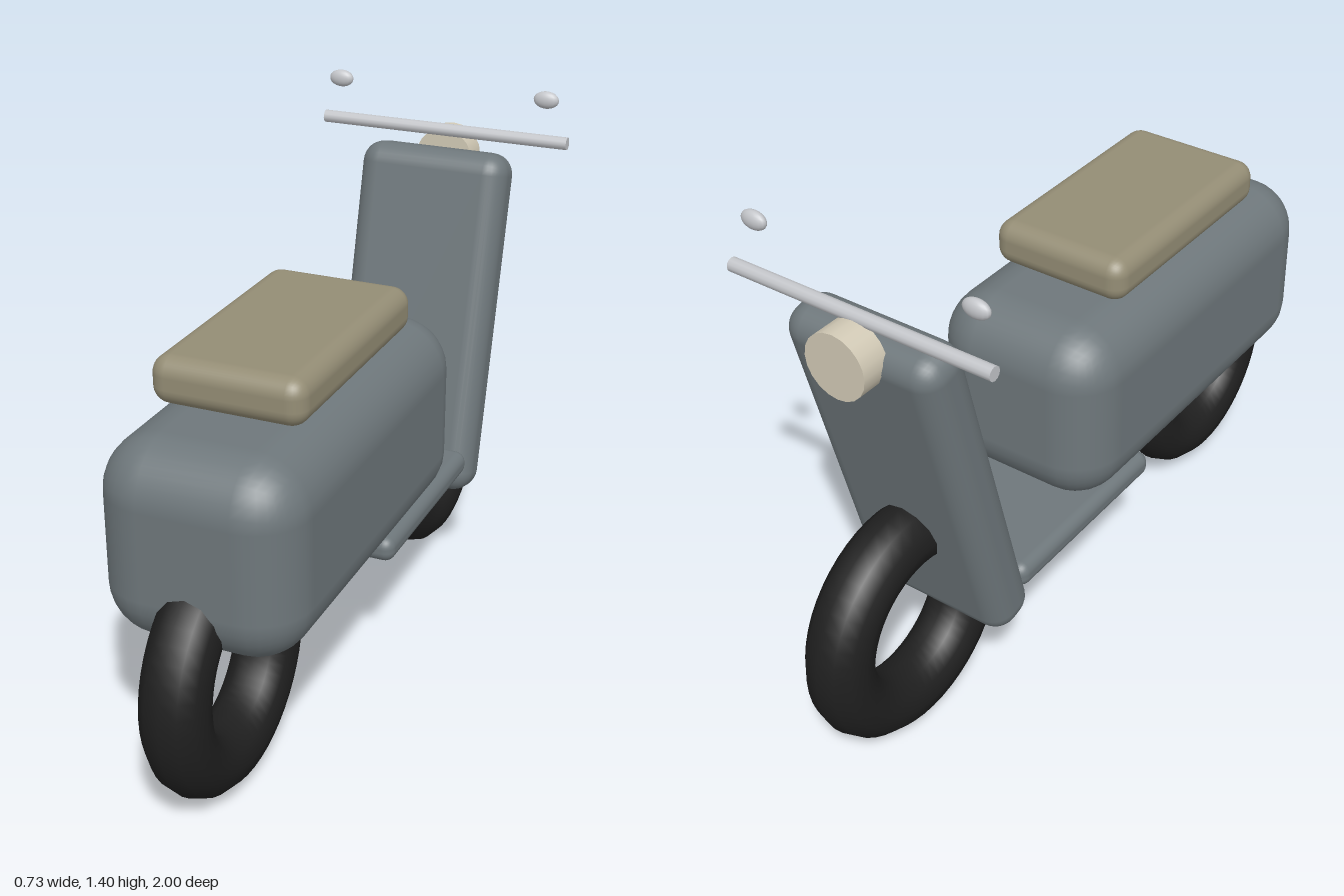
import * as THREE from 'three';
import { RoundedBoxGeometry } from 'three/addons/geometries/RoundedBoxGeometry.js';

function material(name, color) {
  const m = new THREE.MeshStandardMaterial({ color });
  m.name = name;
  return m;
}

export function createModel() {
  const paint = material('grey paint', 0x6e777b);
  const leather = material('tan leather', 0x948d75);
  const rubber = material('black rubber', 0x1f1f1f);
  const metal = material('bright metal', 0xc4c6ca);
  const glass = material('cream lamp', 0xd2cab6);

  const model = new THREE.Group();
  model.name = 'scooter';

  function add(name, geometry, mat, x, y, z) {
    const mesh = new THREE.Mesh(geometry, mat);
    mesh.name = name;
    mesh.position.set(x, y, z);
    model.add(mesh);
    return mesh;
  }
  const box = (w, h, d, r) => new RoundedBoxGeometry(w, h, d, 4, r);

  // Body, seat and footboard
  add('body', box(0.51, 0.51, 1.095, 0.14), paint, 0, 0.685, 0.307);
  add('seat', box(0.39, 0.12, 0.67, 0.045), leather, 0, 1.015, 0.305);
  add('footboard', box(0.414, 0.07, 0.585, 0.03), paint, 0, 0.382, -0.168);

  // Leg shield, leaning away from the seat
  const shield = add('legShield', box(0.434, 0.975, 0.145, 0.06), paint, 0, 0.745, -0.606);
  shield.rotation.x = -0.25;

  // Tyres
  for (const [name, z] of [['rearTyre', 0.672], ['frontTyre', -0.672]]) {
    const tyre = add(name, new THREE.TorusGeometry(0.244, 0.084, 12, 48), rubber, 0, 0.333, z);
    tyre.rotation.y = Math.PI / 2;
  }

  // Headlamp and handlebar
  const lamp = add('headlamp', new THREE.CylinderGeometry(0.084, 0.084, 0.076, 20), glass, 0, 1.175, -0.802);
  lamp.rotation.x = Math.PI / 2;
  const bar = add('handlebar', new THREE.CylinderGeometry(0.018, 0.018, 0.73, 12), metal, 0, 1.26, -0.756);
  bar.rotation.z = Math.PI / 2;

  // Mirrors
  for (const [name, side] of [['leftMirror', 1], ['rightMirror', -1]]) {
    const mirror = add(name, new THREE.SphereGeometry(1, 16, 12), metal, side * 0.305, 1.383, -0.732);
    mirror.scale.set(0.036, 0.024, 0.017);
  }

  return model;
}
